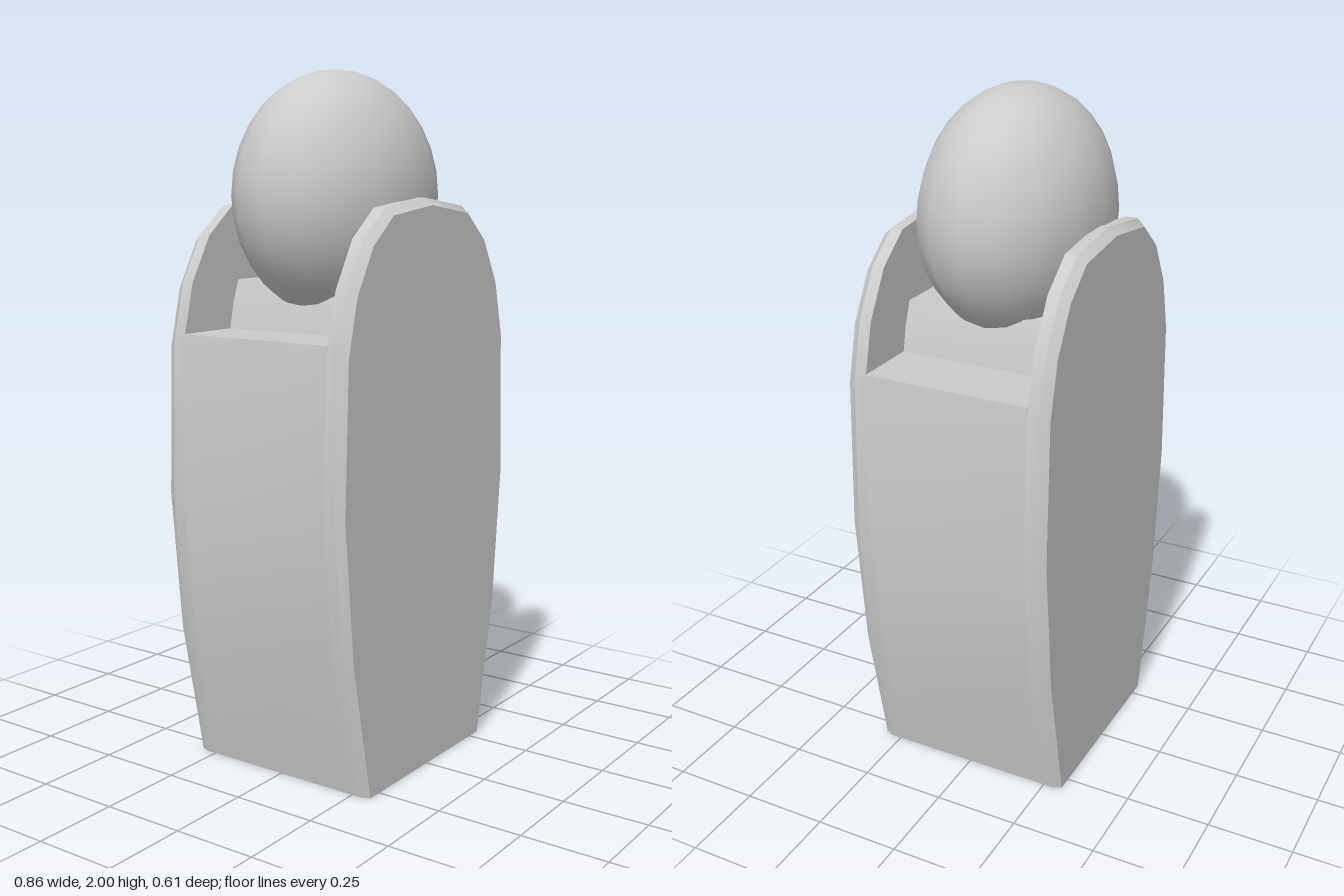
import * as THREE from 'three';
import { toCreasedNormals } from 'three/addons/utils/BufferGeometryUtils.js';

const INNER = 0.245, DEPTH = 0.06;

// Right half of the barrel-shaped outline, bottom to top
const side = [[0.305, 0], [0.39, 0.41], [0.43, 0.82], [0.415, 1.25]];
const crown = [[0.375, 1.41], [0.3, 1.54], [0.2, 1.62]];

const mirror = (pts) => pts.map(([x, y]) => [-x, y]).reverse();
const toShape = (pts) => new THREE.Shape(pts.map(([x, y]) => new THREE.Vector2(x, y)));

export function createModel() {
  const group = new THREE.Group();
  const material = new THREE.MeshStandardMaterial({ color: 0xcccccc });
  const add = (name, geometry) => {
    const mesh = new THREE.Mesh(geometry, material);
    mesh.name = name;
    group.add(mesh);
    return mesh;
  };

  // Front and back plates, chamfered around the outer face
  const half = [...side, ...crown];
  const plate = new THREE.ExtrudeGeometry(
    toShape([...half, [0, 1.645], ...mirror(half)]),
    { depth: DEPTH, steps: 2, bevelEnabled: false }
  );
  const p = plate.attributes.position;
  for (let i = 0; i < p.count; i++) {
    const z = p.getZ(i);
    if (z > DEPTH * 0.9) p.setXY(i, p.getX(i) * 0.965, p.getY(i) * 0.9875);
    else if (z > DEPTH * 0.1) p.setZ(i, 0.035);
  }
  plate.translate(0, 0, INNER);
  const plateGeometry = toCreasedNormals(plate, 0.5);
  add('frontPlate', plateGeometry);
  add('backPlate', plateGeometry).rotation.y = Math.PI;

  // Hollow body between the plates: side walls, shelf and raised seat, open below
  const outer = [...side, [0.413, 1.27], [0.215, 1.27], [0.2, 1.34], [0.175, 1.41]];
  const inner = [[0.26, 0], [0.345, 0.41], [0.385, 0.82], [0.37, 1.22]];
  const body = new THREE.ExtrudeGeometry(
    toShape([...outer, ...mirror(outer), ...mirror(inner).reverse(), ...[...inner].reverse()]),
    { depth: INNER * 2, bevelEnabled: false }
  );
  body.translate(0, 0, -INNER);
  add('hollowBody', toCreasedNormals(body, 0.5));

  // Ball resting in the seat
  const ball = add('ball', new THREE.SphereGeometry(1, 16, 16));
  ball.scale.set(0.355, 0.35, 0.26);
  ball.position.set(-0.025, 1.65, 0);

  return group;
}
